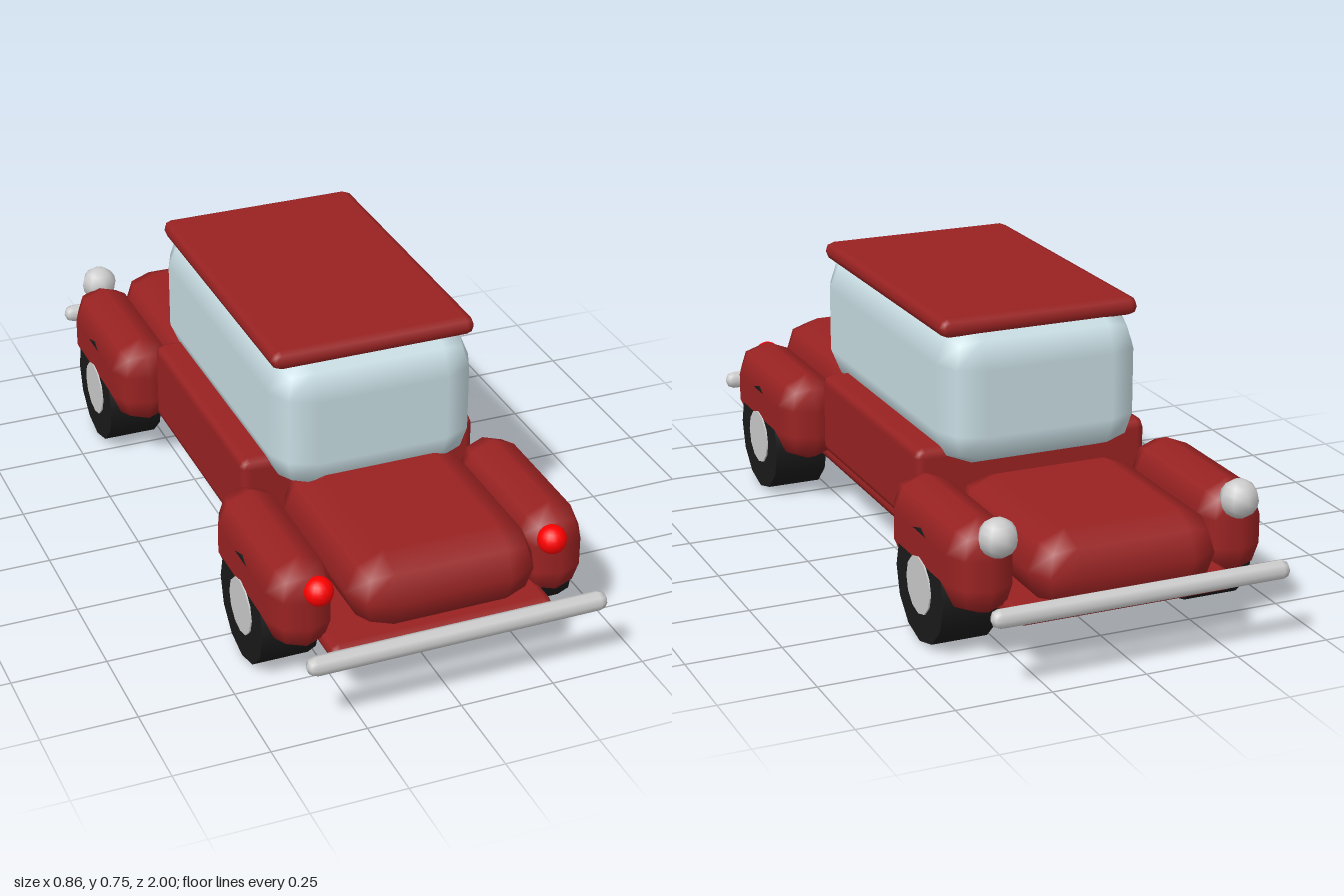
import * as THREE from 'three';
import { RoundedBoxGeometry } from 'three/addons/geometries/RoundedBoxGeometry.js';

export function createModel() {
  const car = new THREE.Group();
  car.name = 'car';

  const paint = new THREE.MeshStandardMaterial({ color: 0x992222 });
  const glass = new THREE.MeshStandardMaterial({ color: 0xc8dde3 });
  const rubber = new THREE.MeshStandardMaterial({ color: 0x1a1a1a });
  const metal = new THREE.MeshStandardMaterial({ color: 0xcccccc });
  const redLamp = new THREE.MeshStandardMaterial({ color: 0xff0000 });

  function add(name, geometry, material, x, y, z) {
    const mesh = new THREE.Mesh(geometry, material);
    mesh.name = name;
    mesh.position.set(x, y, z);
    car.add(mesh);
    return mesh;
  }

  // Bevelled box given by its extents along each axis
  function block(name, material, [x0, x1], [y0, y1], [z0, z1], radius) {
    const geometry = new RoundedBoxGeometry(x1 - x0, y1 - y0, z1 - z0, 1, radius);
    return add(name, geometry, material, (x0 + x1) / 2, (y0 + y1) / 2, (z0 + z1) / 2);
  }

  // Body
  block('chassis', paint, [-0.3, 0.3], [0.125, 0.175], [-0.9, 0.9], 0.025);
  block('doors', paint, [-0.325, 0.325], [0.175, 0.4], [-0.35, 0.35], 0.025);
  block('trunk', paint, [-0.25, 0.25], [0.2, 0.4], [0.35, 0.95], 0.1);
  block('hood', paint, [-0.25, 0.25], [0.15, 0.35], [-0.95, -0.35], 0.1);
  block('cabinGlass', glass, [-0.275, 0.275], [0.35, 0.725], [-0.45, 0.5], 0.1);
  block('roof', paint, [-0.275, 0.275], [0.7, 0.75], [-0.4, 0.45], 0.025);

  // Bumpers at both ends
  for (const end of [-1, 1]) {
    const z = 0.975 * end;
    block('bumper', metal, [-0.4, 0.4], [0.175, 0.225], [z - 0.025, z + 0.025], 0.025);
  }

  // Wheels with hubs, axle along x
  const tyreGeometry = new THREE.CylinderGeometry(0.15, 0.15, 0.149, 12).rotateZ(Math.PI / 2);
  const hubGeometry = new THREE.CylinderGeometry(0.075, 0.075, 0.157, 12).rotateZ(Math.PI / 2);
  const headlightGeometry = new THREE.SphereGeometry(0.05, 8, 8);
  const taillightGeometry = new THREE.SphereGeometry(0.0375, 16, 12);

  for (const side of [-1, 1]) {
    for (const end of [-1, 1]) {
      const fender = new RoundedBoxGeometry(0.175, 0.25, 0.5, 1, 0.0875);
      add('fender', fender, paint, 0.3375 * side, 0.25, 0.6 * end);
      add('tyre', tyreGeometry, rubber, 0.35 * side, 0.15, 0.6 * end);
      add('hub', hubGeometry, metal, 0.35 * side, 0.15, 0.6 * end);
    }
    // Lamps set into the fenders
    add('headlight', headlightGeometry, metal, 0.325 * side, 0.35, -0.85);
    add('taillight', taillightGeometry, redLamp, 0.3125 * side, 0.3125, 0.8375);
  }

  return car;
}
